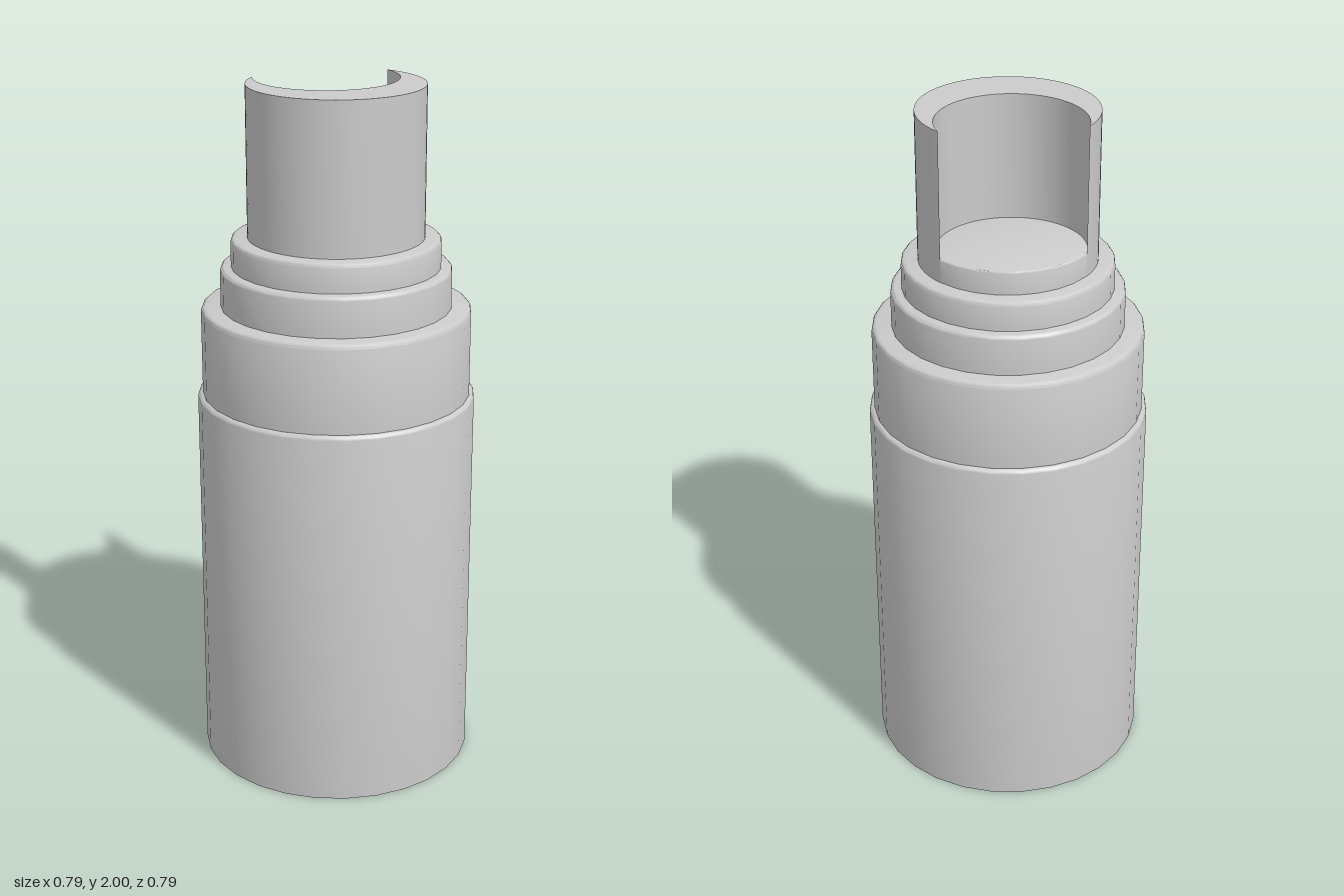
import * as THREE from 'three';
import { toCreasedNormals } from 'three/addons/utils/BufferGeometryUtils.js';

const SIDES = 28;
const material = new THREE.MeshStandardMaterial({ color: 0xcccccc });

function addMesh(group, name, geometry, crease = 0.6) {
  const mesh = new THREE.Mesh(toCreasedNormals(geometry, crease), material);
  mesh.name = name;
  group.add(mesh);
}

// Round tier with a softened top edge, closed at both ends
function tier(radius, bottom, top, bevel) {
  const points = [new THREE.Vector2(0, bottom), new THREE.Vector2(radius, bottom)];
  for (let i = 0; i <= 3; i++) {
    const a = (i / 3) * Math.PI / 2;
    points.push(new THREE.Vector2(
      radius - bevel + bevel * Math.cos(a),
      top - bevel + bevel * Math.sin(a)));
  }
  points.push(new THREE.Vector2(0, top));
  return new THREE.LatheGeometry(points, SIDES);
}

// Crescent wall: a round neck with a smaller round bore breaking out at the back
function crescentWall(radius, boreRadius, boreOffset, bottom, top) {
  const tipY = (radius ** 2 - boreRadius ** 2 + boreOffset ** 2) / (2 * boreOffset);
  const outer = Math.asin(tipY / radius);
  const inner = Math.asin((tipY - boreOffset) / boreRadius);
  const shape = new THREE.Shape();
  shape.absarc(0, 0, radius, Math.PI - outer, Math.PI * 2 + outer, false);
  shape.absarc(0, boreOffset, boreRadius, inner, -Math.PI - inner, true);
  const geometry = new THREE.ExtrudeGeometry(shape, {
    depth: top - bottom, bevelEnabled: false, curveSegments: 22,
  });
  geometry.rotateX(-Math.PI / 2);
  geometry.translate(0, bottom, 0);
  return geometry;
}

export function createModel() {
  const group = new THREE.Group();
  group.name = 'bottle';

  // Body and stepped shoulders: name, radius, bottom, top, edge softening
  const tiers = [
    ['body', 0.397, 0, 1.12, 0.012],
    ['collar', 0.383, 1.11, 1.375, 0.014],
    ['lowerShoulder', 0.327, 1.36, 1.49, 0.012],
    ['upperShoulder', 0.296, 1.48, 1.573, 0.012],
    ['neckFloor', 0.248, 1.56, 1.64, 0.004],
  ];
  for (const [name, ...size] of tiers) addMesh(group, name, tier(...size));

  // Tall neck, open at the back
  addMesh(group, 'neckWall', crescentWall(0.249, 0.205, 0.095, 1.565, 2));

  return group;
}
